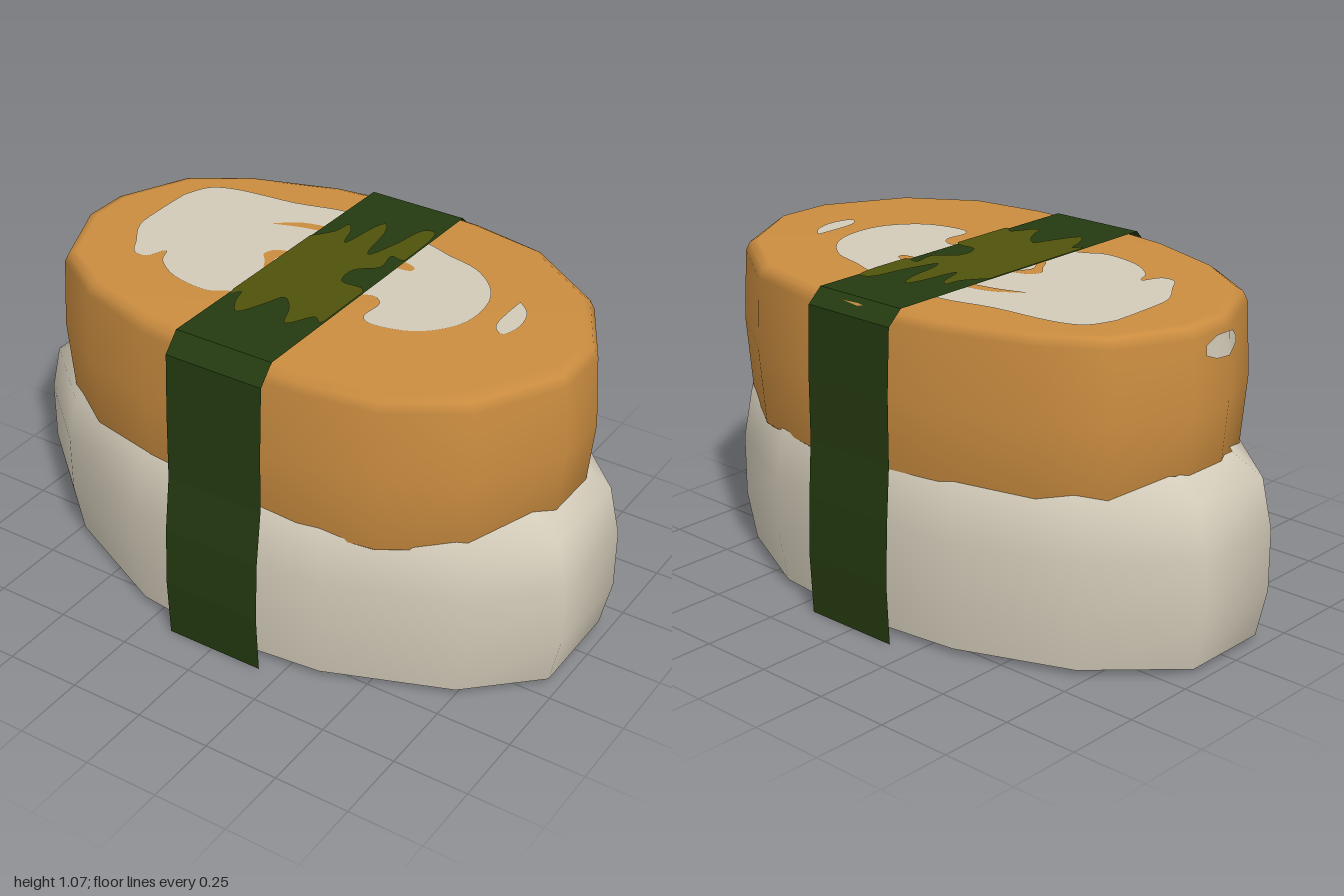
import * as THREE from 'three';

const mat = (name, color, side = THREE.FrontSide) => {
  const m = new THREE.MeshStandardMaterial({ color, side });
  m.name = name;
  return m;
};

// Smooth shell through scaled copies of an (x, z) outline; rings are [y, scale]
function loft(outline, rings, { topCap = null, bottomCap = null, height = (x, y) => y } = {}) {
  const pos = [], idx = [], n = outline.length;
  for (const [y, s] of rings)
    for (const [x, z] of outline) pos.push(x * s, height(x * s, y, z * s), z * s);
  for (let i = 0; i < rings.length - 1; i++)
    for (let j = 0; j < n; j++) {
      const a = i * n + j, b = i * n + (j + 1) % n;
      idx.push(a, a + n, b, b, a + n, b + n);
    }
  if (topCap !== null) {
    const c = pos.length / 3, o = (rings.length - 1) * n;
    pos.push(0, topCap, 0);
    for (let j = 0; j < n; j++) idx.push(o + j, c, o + (j + 1) % n);
  }
  if (bottomCap !== null) {
    const c = pos.length / 3;
    pos.push(0, bottomCap, 0);
    for (let j = 0; j < n; j++) idx.push(j, (j + 1) % n, c);
  }
  return build(pos, idx);
}

function build(pos, idx) {
  const g = new THREE.BufferGeometry();
  g.setAttribute('position', new THREE.Float32BufferAttribute(pos, 3));
  g.setIndex(idx);
  g.computeVertexNormals();
  return g;
}

// The topping's upper face is very slightly tilted
const topY = (x, z) => 1.055 + 0.008 * x + 0.012 * z;

// Thin painted patch lying on the upper face, with a curved (x, z) outline
function patch(points, lift, minX = -2, maxX = 2) {
  const curve = new THREE.SplineCurve([...points, points[0]].map(([x, z]) => new THREE.Vector2(x, -z)));
  const outline = curve.getPoints(points.length * 4).slice(0, -1);
  outline.forEach((p) => { p.x = THREE.MathUtils.clamp(p.x, minX, maxX); });
  const g = new THREE.ShapeGeometry(new THREE.Shape(outline));
  const p = g.attributes.position;
  for (let i = 0; i < p.count; i++) {
    const x = p.getX(i), z = -p.getY(i);
    p.setXYZ(i, x, topY(x, z) + lift, z);
  }
  g.computeVertexNormals();
  return g;
}

export function createModel() {
  const model = new THREE.Group();
  const rice = mat('rice cream', 0xd3cbb9, THREE.DoubleSide);
  const egg = mat('egg orange', 0xcb8d40);
  const seaweed = mat('seaweed green', 0x243a10, THREE.DoubleSide);
  const olive = mat('olive', 0x50530c);
  const add = (name, geometry, material) => {
    const mesh = new THREE.Mesh(geometry, material);
    mesh.name = name;
    model.add(mesh);
  };

  // Rice: open shell with a rounded shoulder
  const riceOutline = [
    [-1, -0.17], [-0.74, -0.42], [-0.36, -0.57], [0, -0.61], [0.4, -0.57], [0.75, -0.4], [1, -0.15],
    [1, 0.2], [0.78, 0.41], [0.37, 0.57], [0, 0.61], [-0.33, 0.57], [-0.75, 0.37], [-1, 0.15],
  ];
  add('riceBase', loft(riceOutline, [[0.02, 0.965], [0.18, 1], [0.38, 1], [0.54, 0.965], [0.6, 0.86]]), rice);

  // Egg topping: bevelled, closed slab
  const eggOutline = [
    [-0.89, -0.1], [-0.78, -0.34], [-0.6, -0.46], [-0.3, -0.56], [0, -0.6], [0.24, -0.59], [0.5, -0.54],
    [0.78, -0.35], [0.92, -0.1], [0.92, 0.1], [0.77, 0.37], [0.54, 0.52], [0.28, 0.56], [0, 0.565],
    [-0.3, 0.53], [-0.58, 0.44], [-0.78, 0.31], [-0.89, 0.06],
  ];
  add('eggTopping', loft(eggOutline,
    [[0.49, 0.9], [0.53, 0.975], [0.78, 1], [1.01, 0.985], [1.04, 0.967], [1.055, 0.935]], {
      topCap: 1.055, bottomCap: 0.49,
      height: (x, y, z) => (y > 1.05 ? topY(x, z) : y),
    }), egg);

  // Pale patches on the upper face
  add('largePalePatch', patch([
    [-0.68, -0.21], [-0.64, -0.3], [-0.54, -0.34], [-0.34, -0.36], [-0.16, -0.4], [0.02, -0.38],
    [0.18, -0.35], [0.27, -0.32], [0.38, -0.29], [0.47, -0.22], [0.52, -0.13], [0.53, -0.02],
    [0.5, 0.07], [0.42, 0.15], [0.3, 0.18], [0.25, 0.15], [0.25, 0.06], [0.18, 0.04], [0.02, 0.18],
    [-0.16, 0.24], [-0.24, 0.28], [-0.37, 0.26], [-0.46, 0.2], [-0.49, 0.14], [-0.52, 0.2],
    [-0.57, 0.2], [-0.61, 0.14], [-0.67, 0.04], [-0.68, -0.09],
  ], 0.003), rice);
  add('smallPalePatch', patch([
    [0.6, -0.18], [0.65, -0.13], [0.67, -0.05], [0.65, 0.02], [0.61, -0.01], [0.6, -0.08],
  ], 0.003), rice);

  // Egg-coloured islands inside the large patch
  const islands = [
    [[-0.32, -0.19], [-0.24, -0.25], [-0.14, -0.27], [-0.14, -0.24], [-0.23, -0.22]],
    [[-0.14, -0.07], [-0.2, -0.05], [-0.22, -0.01], [-0.19, 0.03], [-0.16, 0.08], [-0.13, 0.08],
      [-0.17, 0.01], [-0.16, -0.03]],
    [[0.15, -0.21], [0.22, -0.19], [0.22, -0.16], [0.15, -0.16]],
  ];
  islands.forEach((points, i) => add(`eggIsland${i + 1}`, patch(points, 0.005), egg));

  // Pale fleck wrapped round the right end: columns of [z, low y, high y]
  const pos = [], idx = [];
  [[-0.05, 0.95, 0.98], [0, 0.93, 1], [0.06, 0.925, 1], [0.1, 0.93, 0.99], [0.14, 0.94, 0.96]]
    .forEach(([z, low, high], i) => {
      const x = -0.894 + Math.max(0, z - 0.06) * 0.44;
      for (const y of [low, high]) pos.push(x + (y - 0.78) * 0.06, y, z);
      const a = i * 2;
      if (i) idx.push(a - 2, a, a - 1, a - 1, a, a + 1);
    });
  add('endPaleFleck', build(pos, idx), rice);

  // Seaweed band: thin sheet over the top, open underneath; profile of [z, y]
  const left = -0.16, right = 0.18;
  const profile = [
    [0.625, 0], [0.635, 0.2], [0.625, 0.4], [0.6, 0.58], [0.595, 0.8], [0.585, 1.01], [0.53, 1.069],
    [-0.56, 1.056], [-0.61, 1.01], [-0.62, 0.8], [-0.62, 0.58], [-0.632, 0.4], [-0.64, 0.2], [-0.63, 0],
  ];
  const bandPos = [], bandIdx = [];
  profile.forEach(([z, y], i) => {
    bandPos.push(left, y, z, right, y, z);
    const a = i * 2;
    if (i) bandIdx.push(a - 2, a - 1, a, a, a - 1, a + 1);
  });
  add('seaweedBand', build(bandPos, bandIdx).toNonIndexed(), seaweed);
  model.children.at(-1).geometry.computeVertexNormals();

  // Olive mottling on top of the band
  add('bandMottling', patch([
    [-0.16, -0.18], [-0.11, -0.25], [-0.1, -0.31], [-0.07, -0.28], [-0.04, -0.2], [-0.02, -0.34],
    [0, -0.38], [0.03, -0.32], [0.05, -0.2], [0.07, -0.18], [0.1, -0.29], [0.12, -0.4], [0.165, -0.41],
    [0.18, -0.32], [0.18, -0.2], [0.13, -0.2], [0.14, -0.12], [0.08, -0.06], [0.09, 0.02], [0.18, 0.04],
    [0.18, 0.26], [0.14, 0.25], [0.09, 0.33], [0.05, 0.25], [0, 0.2], [-0.03, 0.27], [-0.07, 0.35],
    [-0.11, 0.3], [-0.13, 0.24], [-0.16, 0.24],
  ], 0.012, left, right), olive);

  return model;
}
